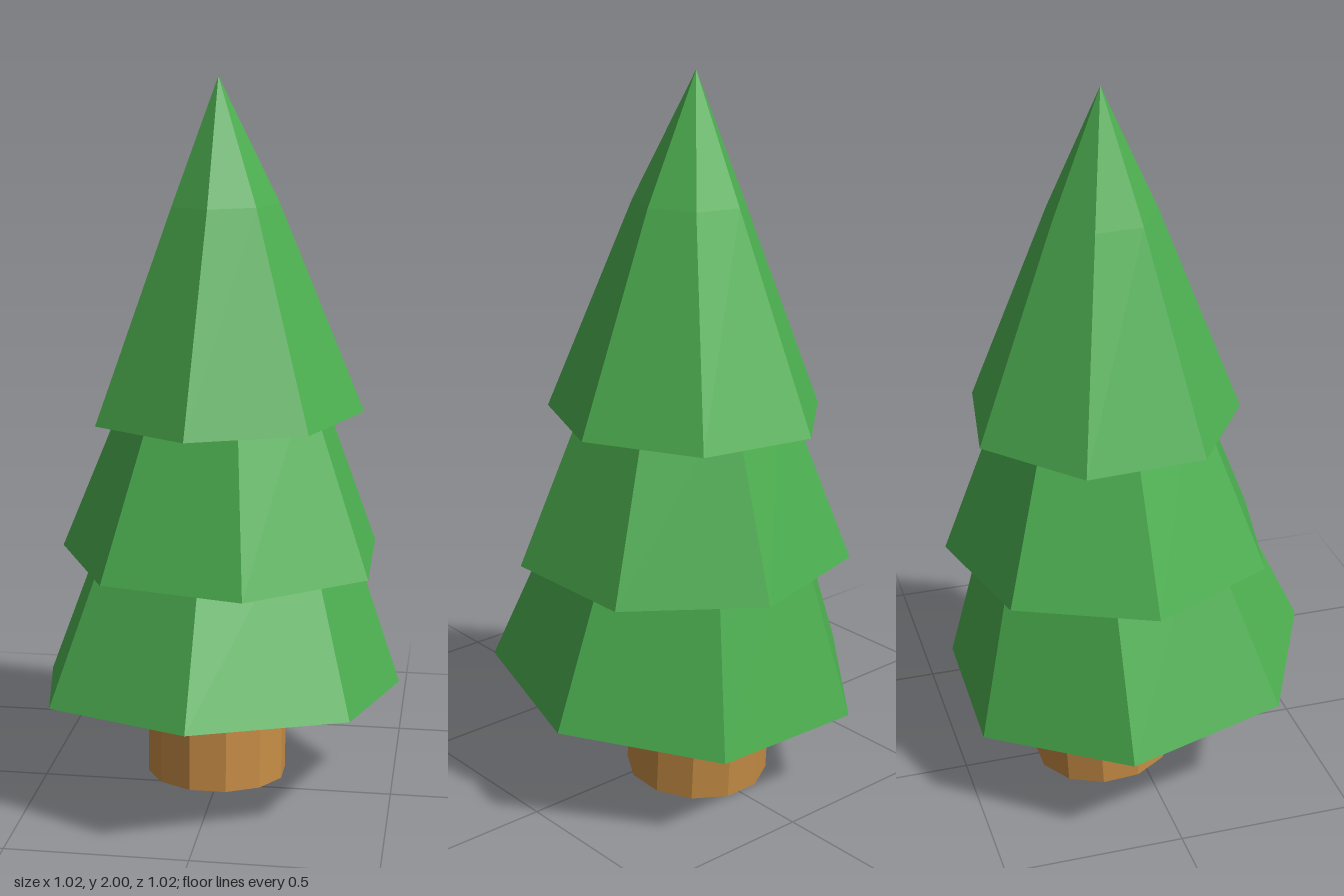
import * as THREE from 'three';

const green = new THREE.MeshStandardMaterial({ color: 0x4caf50, flatShading: true });
const brown = new THREE.MeshStandardMaterial({ color: 0xc68c45, flatShading: true });

// Closed faceted solid through rings listed from top to bottom.
// Ring: [centre x, y, z, radius]; tiltX, tiltZ: rise of each ring along x and z.
function facetedSolid(name, material, rings, sides, turn, tiltX = 0, tiltZ = 0) {
  const steps = rings.length - 1;
  const pointed = rings[0][3] === 0;
  const geo = new THREE.CylinderGeometry(pointed ? 0 : 1, 1, steps, sides, steps, false, THREE.MathUtils.degToRad(turn));
  const pos = geo.attributes.position;
  for (let i = 0; i < pos.count; i++) {
    const [cx, cy, cz, r] = rings[Math.round(steps / 2 - pos.getY(i))];
    const len = Math.hypot(pos.getX(i), pos.getZ(i));
    const k = len > 1e-6 ? r / len : 0;
    const dx = pos.getX(i) * k;
    const dz = pos.getZ(i) * k;
    pos.setXYZ(i, cx + dx, cy + dx * tiltX + dz * tiltZ, cz + dz);
  }
  geo.computeVertexNormals();
  const mesh = new THREE.Mesh(geo, material);
  mesh.name = name;
  return mesh;
}

export function createModel() {
  const tree = new THREE.Group();
  tree.name = 'pineTree';

  // Trunk, leaning slightly back
  tree.add(facetedSolid('trunk', brown, [
    [-0.01, 0.5, -0.115, 0.2],
    [-0.01, 0.0125, -0.088, 0.2],
  ], 12, 15, 0, 0.06));

  // Three overlapping tiers of foliage, each turned differently
  tree.add(facetedSolid('lowerFoliage', green, [
    [0.01, 0.85, -0.07, 0.32],
    [0, 0.3, -0.014, 0.523],
  ], 7, -1, 0.015, 0.1));

  tree.add(facetedSolid('middleFoliage', green, [
    [0.02, 1.2, -0.07, 0.255],
    [0.014, 0.68, -0.058, 0.462],
  ], 7, 13.8, -0.01));

  // Top tier with a faint bulge below the tip
  tree.add(facetedSolid('topFoliage', green, [
    [-0.006, 2, -0.08, 0],
    [0.01, 1.66, -0.075, 0.152],
    [0.017, 1.08, -0.075, 0.383],
  ], 7, -9, 0.025));

  return tree;
}
